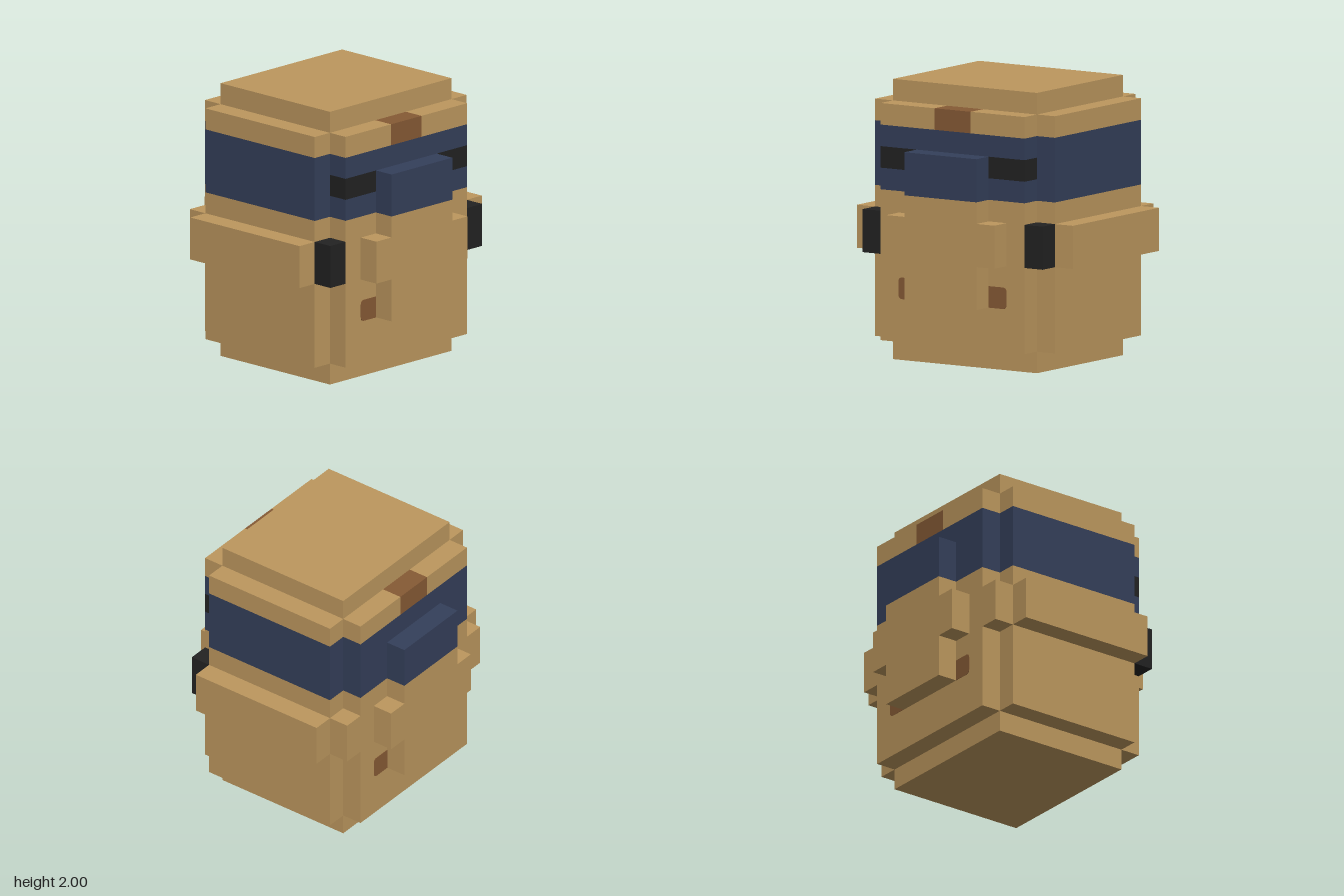
import * as THREE from 'three';

const U = 2 / 13; // one block

export function createModel() {
  const mat = (name, color) => {
    const m = new THREE.MeshStandardMaterial({ color });
    m.name = name;
    return m;
  };
  const tan = mat('tan', 0xbc975e);
  const navy = mat('navy', 0x343f5a);
  const black = mat('black', 0x222222);
  const brown = mat('brown', 0x865a35);

  const model = new THREE.Group();
  model.name = 'blockHead';

  // Box given by its limits in blocks
  const box = (parent, name, material, [x0, x1], [y0, y1], [z0, z1]) => {
    const g = new THREE.BoxGeometry((x1 - x0) * U, (y1 - y0) * U, (z1 - z0) * U);
    const mesh = new THREE.Mesh(g, material);
    mesh.position.set((x0 + x1) / 2 * U, (y0 + y1) / 2 * U, (z0 + z1) / 2 * U);
    mesh.name = name;
    parent.add(mesh);
  };
  // Box limits reflected to one side of an axis
  const side = (s, a, b) => (s > 0 ? [a, b] : [-b, -a]);

  // Core of the head, showing at the crown and base
  box(model, 'core', tan, [-4, 4], [0, 13], [-3.5, 3.5]);

  // Cheek spot: thin plate with rounded outer corners
  const r = 0.2 * U;
  const spot = new THREE.Shape();
  spot.moveTo(0, 0);
  spot.lineTo(U - r, 0);
  spot.quadraticCurveTo(U, 0, U, r);
  spot.lineTo(U, U - r);
  spot.quadraticCurveTo(U, U, U - r, U);
  spot.lineTo(0, U);
  const spotGeometry = new THREE.ExtrudeGeometry(spot, { depth: 0.003, bevelEnabled: false, curveSegments: 4 });
  const spotMirrored = new THREE.ExtrudeGeometry(
    new THREE.Shape(spot.getPoints(4).map((p) => new THREE.Vector2(-p.x, p.y)).reverse()),
    { depth: 0.003, bevelEnabled: false });

  // Front and back faces
  for (const s of [1, -1]) {
    const face = new THREE.Group();
    face.name = s > 0 ? 'frontFace' : 'backFace';
    model.add(face);
    const slab = side(s, 3.5, 4.5);
    const plate = side(s, 4.5, 5.5);

    box(face, 'lowerFace', tan, [-4, 4], [1, 8], slab);
    if (s > 0) {
      box(face, 'lowerBand', navy, [-4, 4], [8, 9], slab);
      box(face, 'middleBand', navy, [-2, 2], [9, 10], slab);
      box(face, 'upperBand', navy, [-4, 4], [10, 11], slab);
      for (const e of [1, -1]) box(face, e > 0 ? 'leftEye' : 'rightEye', black, side(e, 2, 4), [9, 10], slab);
    } else {
      box(face, 'band', navy, [-4, 4], [8, 11], slab);
    }
    box(face, 'browPatch', brown, [-1, 1], [11, 12], slab);

    // Raised muzzle plate
    box(face, 'muzzle', tan, [-2, 2], [3, 8], plate);
    box(face, 'muzzleBand', navy, [-2, 2], [8, 10], plate);

    for (const e of [1, -1]) {
      box(face, 'forehead', tan, side(e, 1, 4), [11, 12], slab);
      box(face, 'muzzleWing', tan, side(e, 2, 3), [5, 7], plate);
      const cheek = new THREE.Mesh(e > 0 ? spotGeometry : spotMirrored, brown);
      cheek.name = 'cheekSpot';
      cheek.position.set(e * 2 * U, 3 * U, s > 0 ? 4.5 * U : -4.5 * U - 0.003);
      face.add(cheek);
    }
  }

  // Left and right sides
  for (const s of [1, -1]) {
    const flank = new THREE.Group();
    flank.name = s > 0 ? 'leftSide' : 'rightSide';
    model.add(flank);
    const slab = side(s, 4, 5);
    const depth = [-3.5, 3.5];
    box(flank, 'lowerSide', tan, slab, [1, 8], depth);
    box(flank, 'sideBand', navy, slab, [8, 11], depth);
    box(flank, 'upperSide', tan, slab, [11, 12], depth);
    box(flank, 'ear', tan, side(s, 5, 6), [5, 7], depth);
    box(flank, 'frontCornerBlock', black, slab, [5, 7], [3.5, 4.5]);
    box(flank, 'backCornerBlock', tan, slab, [5, 7], [-4.5, -3.5]);
  }

  return model;
}
